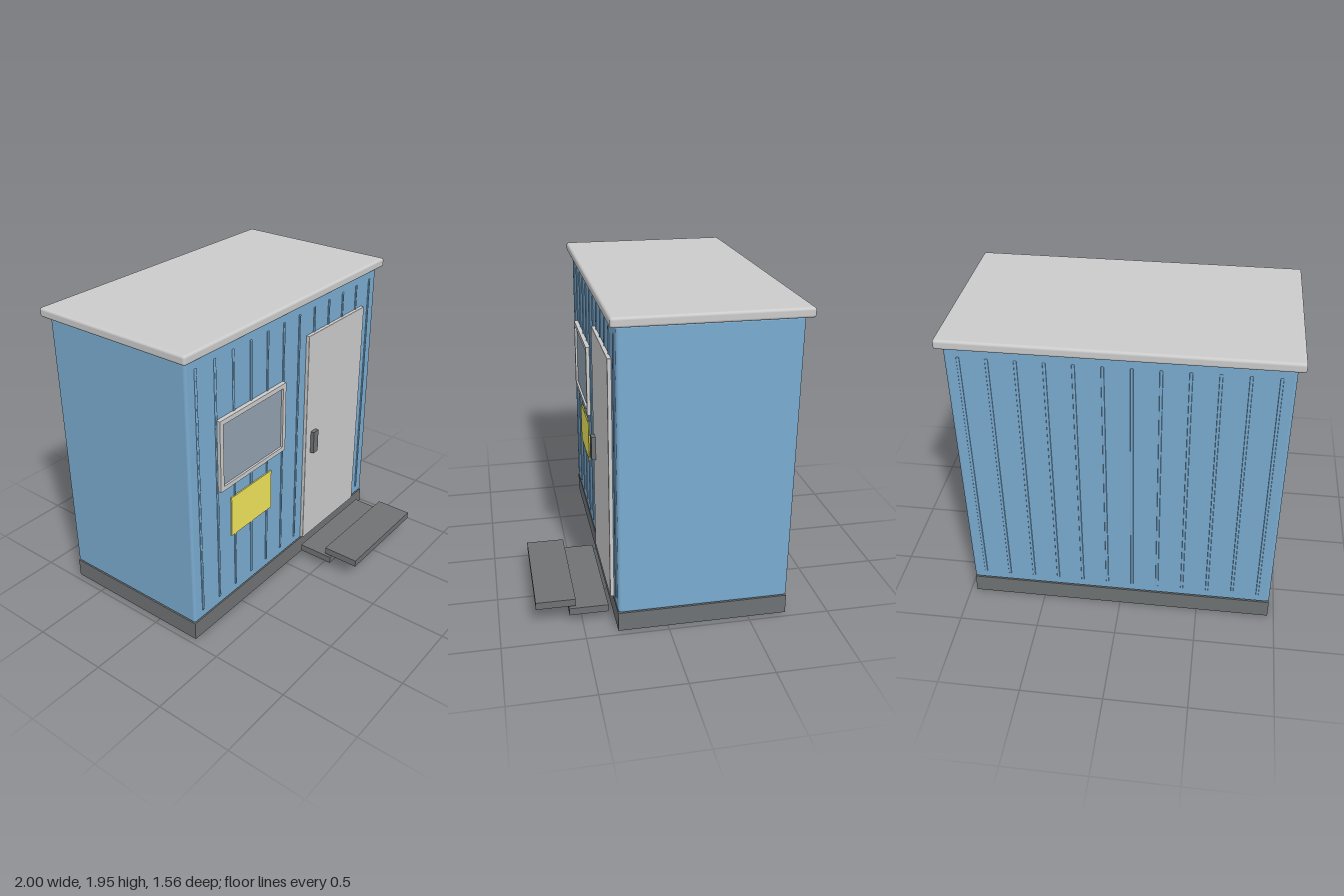
import * as THREE from 'three';
import { RoundedBoxGeometry } from 'three/addons/geometries/RoundedBoxGeometry.js';

const mat = (color) => new THREE.MeshStandardMaterial({ color });
const grey = mat(0xcccccc);
const blue = mat(0x7aabd0);
const dark = mat(0x6f7274);
const glass = mat(0x92a2b0);
const yellow = mat(0xf0e45c);

export function createModel() {
  const group = new THREE.Group();

  // Box given by its minimum and maximum extents, optionally with rounded edges
  function box(name, material, [x0, x1], [y0, y1], [z0, z1], radius = 0) {
    const size = [x1 - x0, y1 - y0, z1 - z0];
    const geometry = radius
      ? new RoundedBoxGeometry(...size, 3, radius)
      : new THREE.BoxGeometry(...size);
    const mesh = new THREE.Mesh(geometry, material);
    mesh.name = name;
    mesh.position.set((x0 + x1) / 2, (y0 + y1) / 2, (z0 + z1) / 2);
    group.add(mesh);
    return mesh;
  }

  // Shell
  const front = 0.302, back = -0.74;
  box('base', dark, [-0.96, 0.96], [0, 0.122], [back, front]);
  box('body', blue, [-0.96, 0.96], [0.122, 1.89], [back, front], 0.018);
  box('roof', grey, [-1, 1], [1.887, 1.945], [-0.78, 0.338], 0.016);

  // Vertical wall ribs, front and back
  for (let i = 0; i < 12; i++) {
    const x = -0.88 + i * 0.16;
    for (const [name, z] of [['frontRib', front], ['backRib', back]]) {
      box(name, blue, [x - 0.009, x + 0.009], [0.185, 1.825], [z - 0.006, z + 0.006], 0.005);
    }
  }

  // Door and handle
  box('door', grey, [0.158, 0.797], [0.137, 1.66], [0.29, 0.325], 0.004);
  box('doorHandle', dark, [0.212, 0.263], [0.807, 0.965], [0.32, 0.351]);

  // Window frame with recessed pane
  const frame = new THREE.Shape();
  frame.moveTo(-0.72, 0.97).lineTo(-0.085, 0.97).lineTo(-0.085, 1.443).lineTo(-0.72, 1.443).closePath();
  const opening = new THREE.Path();
  opening.moveTo(-0.69, 1.0).lineTo(-0.69, 1.412).lineTo(-0.115, 1.412).lineTo(-0.115, 1.0).closePath();
  frame.holes.push(opening);
  const windowFrame = new THREE.Mesh(
    new THREE.ExtrudeGeometry(frame, { depth: 0.04, bevelEnabled: false }), grey);
  windowFrame.name = 'windowFrame';
  windowFrame.position.z = 0.29;
  group.add(windowFrame);
  box('windowPane', glass, [-0.69, -0.115], [1.0, 1.412], [0.29, 0.316]);

  // Sign panel
  box('signPanel', yellow, [-0.6, -0.202], [0.585, 0.863], [0.295, 0.31]);

  // Steps
  box('lowerStep', dark, [0.12, 0.835], [0.06, 0.106], [0.342, 0.58]);
  box('upperStep', dark, [0.12, 0.835], [0.124, 0.17], [0.54, 0.78]);

  return group;
}
